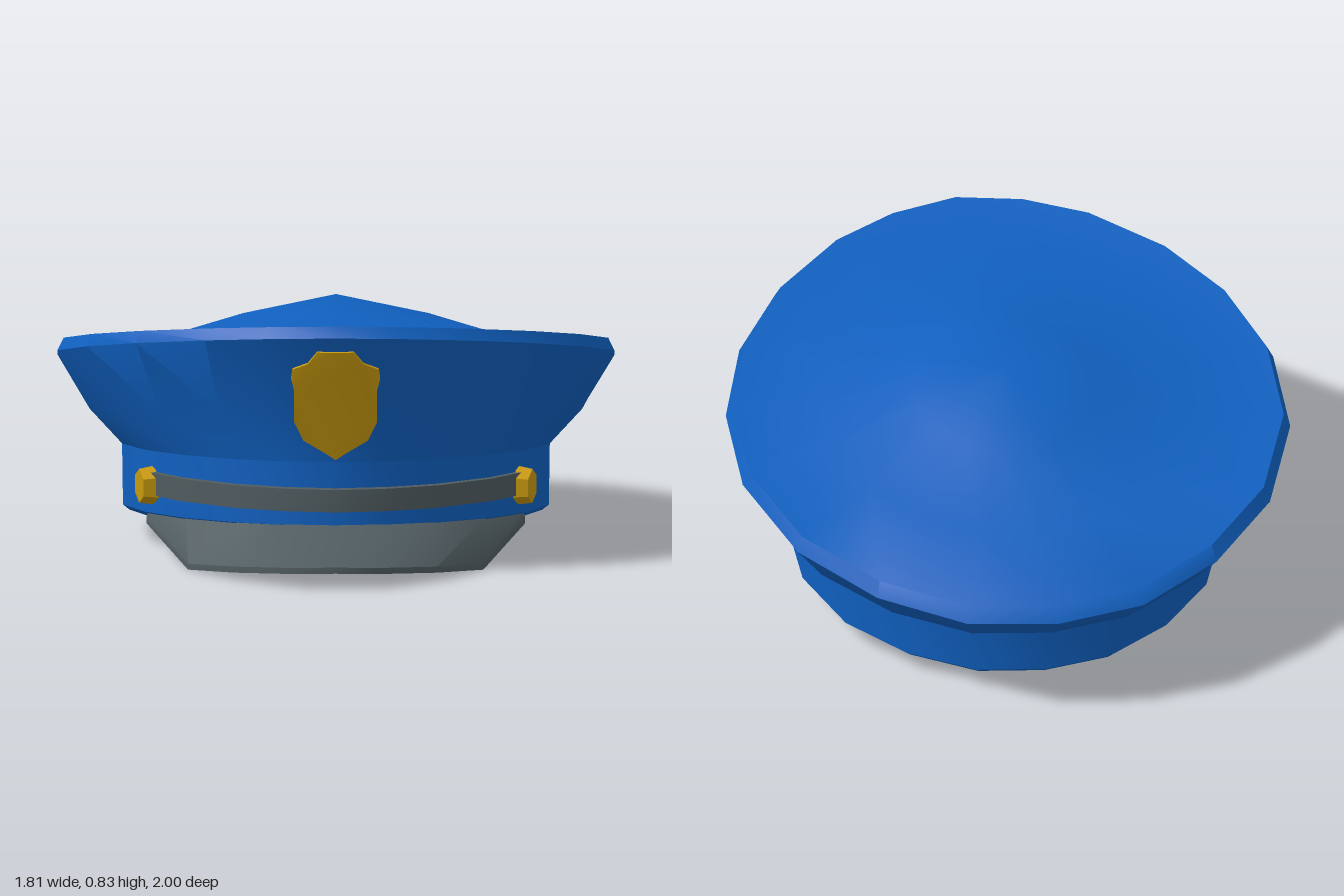
import * as THREE from 'three';
import { toCreasedNormals } from 'three/addons/utils/BufferGeometryUtils.js';

const blue = new THREE.MeshStandardMaterial({ color: 0x1060c0 });
blue.name = 'blue cloth';
const grey = new THREE.MeshStandardMaterial({ color: 0x505c60 });
grey.name = 'grey leather';
const gold = new THREE.MeshStandardMaterial({ color: 0xc89a0e });
gold.name = 'gold metal';

// Half of the egg-shaped plan, from front (z = 1) to back (z = -1)
const halfEgg = [[0, 1], [0.243, 0.956], [0.47, 0.858], [0.718, 0.66], [0.895, 0.42], [1, 0.126],
  [1, -0.202], [0.862, -0.54], [0.62, -0.79], [0.32, -0.956], [0, -1]];

// Unit plan point at step k of 20, counted from the front towards +x
function egg(k) {
  const i = (k + 20) % 20;
  return i <= 10 ? halfEgg[i] : [-halfEgg[20 - i][0], halfEgg[20 - i][1]];
}

// Point on a tilted egg given by its front and back (z, y) and half width
function eggPoint(k, [zf, yf, zb, yb, w]) {
  const [x, t] = egg(k);
  return [x * w, (yf + yb) / 2 + t * (yf - yb) / 2, (zf + zb) / 2 + t * (zf - zb) / 2];
}

const ring = (r) => Array.from({ length: 20 }, (_, k) => eggPoint(k, r));

// Skin a series of closed rings
function loft(rings, crease) {
  const n = rings[0].length;
  const index = [];
  for (let i = 0; i < rings.length - 1; i++) {
    for (let j = 0; j < n; j++) {
      const a = i * n + j, d = i * n + (j + 1) % n;
      index.push(a, a + n, d + n, a, d + n, d);
    }
  }
  const g = new THREE.BufferGeometry();
  g.setAttribute('position', new THREE.Float32BufferAttribute(rings.flat(2), 3));
  g.setIndex(index);
  return toCreasedNormals(g, crease);
}

export function createModel() {
  const group = new THREE.Group();
  const add = (name, geometry, material) => {
    const mesh = new THREE.Mesh(geometry, material);
    mesh.name = name;
    group.add(mesh);
    return mesh;
  };

  // Flared crown with a low dome: front z, front y, back z, back y, half width
  add('crown', loft([
    [-0.09, 0.785, -0.09, 0.785, 0],
    [0.21, 0.78, -0.41, 0.66, 0.3],
    [0.51, 0.757, -0.65, 0.515, 0.59],
    [0.81, 0.835, -0.97, 0.44, 0.885],
    [0.835, 0.8, -1, 0.39, 0.905],
    [0.735, 0.54, -0.89, 0.28, 0.8],
    [0.71, 0.37, -0.79, 0.25, 0.695],
  ].map(ring), 0.9), blue);

  // Head band with closed underside
  add('band', loft([
    [0.71, 0.37, -0.79, 0.25, 0.695],
    [0.71, 0.16, -0.78, 0.06, 0.692],
    [0.69, 0.14, -0.765, 0.045, 0.67],
    [-0.04, 0.092, -0.04, 0.092, 0],
  ].map(ring), 0.6), blue);

  // Visor: a thin curved sheet from the band to its outer edge
  const edge = [[0, 0.073, 1], [0.15, 0.066, 0.965], [0.33, 0.045, 0.82], [0.48, 0.02, 0.62], [0.615, 0.115, 0.29]];
  const visor = [];
  for (let k = -4; k <= 4; k++) {
    const [ex, y, z] = edge[Math.abs(k)];
    const x = Math.sign(k) * ex;
    const [ix, iy, iz] = eggPoint(k, [0.7, 0.165, -0.77, 0.06, 0.68]);
    visor.push([[x, y, z], [ix, iy, iz], [ix, iy - 0.02, iz], [x, y - 0.02, z]]);
  }
  add('visor', loft(visor, 0.7), grey);

  // Strap around the front of the band
  const strap = [];
  for (let k = -4; k <= 4; k++) {
    const [ox, y, oz] = eggPoint(k, [0.745, 0.247, -0.8, 0.2, 0.705]);
    const [ix, , iz] = eggPoint(k, [0.7, 0, -0.78, 0, 0.68]);
    strap.push([[ox, y + 0.037, oz], [ix, y + 0.037, iz], [ix, y - 0.037, iz], [ox, y - 0.037, oz]]);
  }
  add('strap', loft(strap, 0.6), grey);

  // Six-sided buttons at the strap ends
  for (const side of [-1, 1]) {
    const g = toCreasedNormals(new THREE.CylinderGeometry(0.056, 0.064, 0.05, 6), 0.3);
    g.rotateY(Math.PI / 2);
    const button = add(side > 0 ? 'leftButton' : 'rightButton', g, gold);
    button.position.set(side * 0.615, 0.225, 0.318);
    const axis = new THREE.Vector3(side, 0, 0.3).normalize();
    const up = new THREE.Vector3(0, 1, 0);
    const across = new THREE.Vector3().crossVectors(axis, up);
    button.quaternion.setFromRotationMatrix(new THREE.Matrix4().makeBasis(up, axis, across.negate()));
  }

  // Shield badge, leaned and bent to follow the crown
  const half = [[0.06, 0.752], [0.09, 0.712], [0.14, 0.692], [0.145, 0.66], [0.135, 0.62],
    [0.135, 0.51], [0.105, 0.445], [0.035, 0.402]];
  const outline = [[0, 0.752], ...half.map(([x, y]) => [-x, y]), [0, 0.378], ...half.slice().reverse()];
  const shape = new THREE.Shape(outline.map(([x, y]) => new THREE.Vector2(x, y)));
  const badge = new THREE.ExtrudeGeometry(shape, { depth: 0.028, bevelEnabled: false });
  const p = badge.attributes.position;
  for (let i = 0; i < p.count; i++) {
    const t = (p.getY(i) - 0.378) / 0.374;
    p.setZ(i, p.getZ(i) + 0.688 + 0.118 * t + 0.05 * t * (1 - t) - 0.12 * Math.abs(p.getX(i)));
  }
  add('badge', toCreasedNormals(badge, 0.6), gold);

  return group;
}
